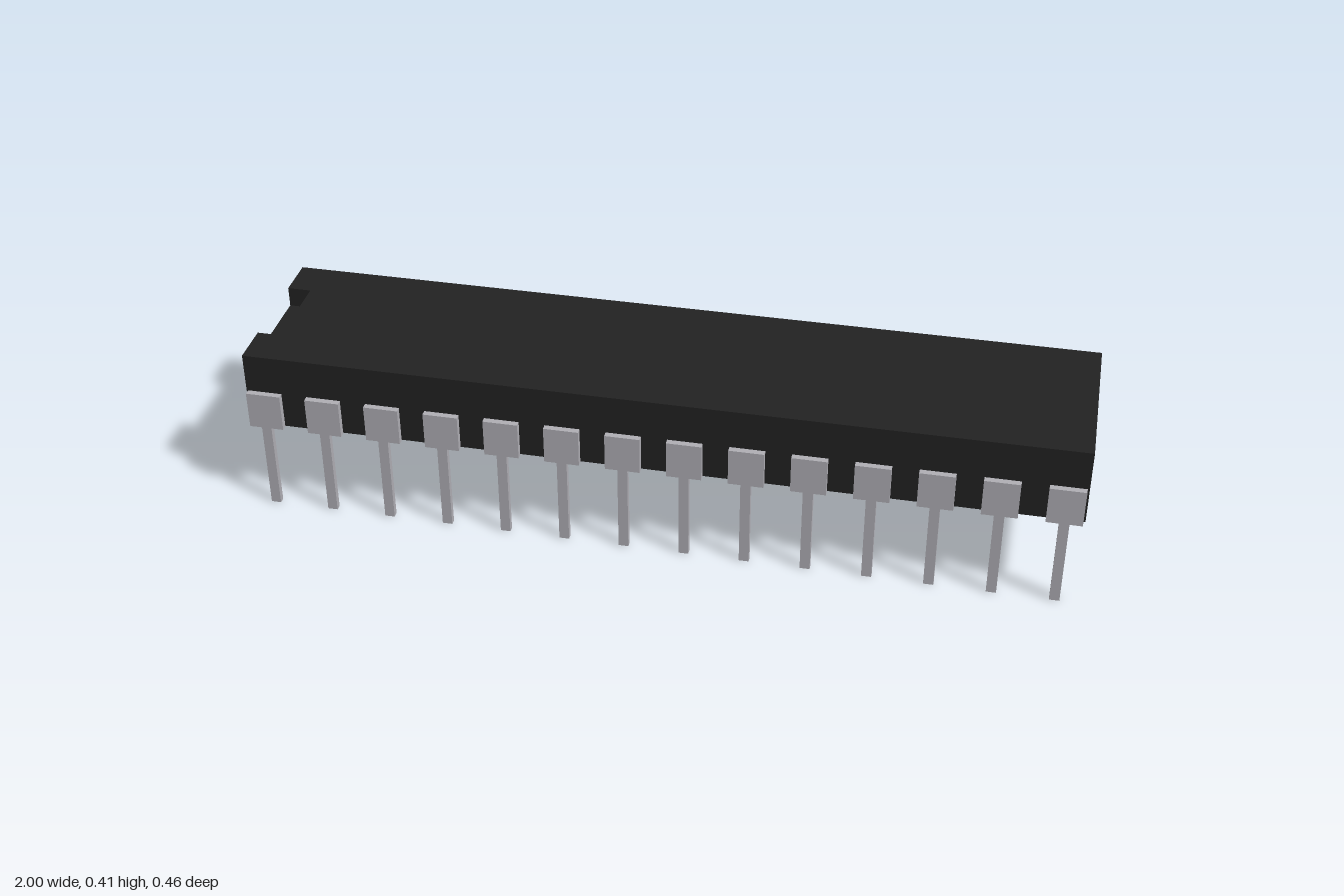
import * as THREE from 'three';

const BODY = { bottom: 0.222, top: 0.412, halfX: 1, halfZ: 0.211 };
const NOTCH = { halfZ: 0.106, depthX: 0.058, depthY: 0.05 };
const PINS = { perSide: 14, firstX: -0.953, z: 0.2215, thickness: 0.015 };

export function createModel() {
  const plastic = new THREE.MeshStandardMaterial({ color: 0x222222 });
  plastic.name = 'black plastic';
  const metal = new THREE.MeshStandardMaterial({ color: 0xb0afb5 });
  metal.name = 'pin metal';

  const model = new THREE.Group();
  model.name = 'integratedCircuit';

  function addBox(parent, name, material, size, position) {
    const mesh = new THREE.Mesh(new THREE.BoxGeometry(...size), material);
    mesh.name = name;
    mesh.position.set(...position);
    parent.add(mesh);
  }

  // Lower body, up to the floor of the notch
  const floor = BODY.top - NOTCH.depthY;
  addBox(model, 'lowerBody', plastic,
    [BODY.halfX * 2, floor - BODY.bottom, BODY.halfZ * 2],
    [0, (floor + BODY.bottom) / 2, 0]);

  // Upper body: plan outline with the orientation notch at the -x end
  const { halfX, halfZ } = BODY;
  const inner = -halfX + NOTCH.depthX;
  const outline = new THREE.Shape([
    [-halfX, -halfZ], [halfX, -halfZ], [halfX, halfZ], [-halfX, halfZ],
    [-halfX, NOTCH.halfZ], [inner, NOTCH.halfZ],
    [inner, -NOTCH.halfZ], [-halfX, -NOTCH.halfZ],
  ].map(([x, y]) => new THREE.Vector2(x, y)));
  const upper = new THREE.ExtrudeGeometry(outline, { depth: NOTCH.depthY, bevelEnabled: false });
  upper.rotateX(-Math.PI / 2);
  const upperBody = new THREE.Mesh(upper, plastic);
  upperBody.name = 'notchedUpperBody';
  upperBody.position.y = floor;
  model.add(upperBody);

  // Two rows of pins: a wide shoulder above a narrow leg
  const pitch = (-2 * PINS.firstX) / (PINS.perSide - 1);
  for (const side of [1, -1]) {
    const row = new THREE.Group();
    row.name = side > 0 ? 'frontPins' : 'backPins';
    for (let i = 0; i < PINS.perSide; i++) {
      const x = PINS.firstX + i * pitch;
      const z = side * PINS.z;
      addBox(row, 'pinShoulder', metal, [0.084, 0.094, PINS.thickness], [x, 0.269, z]);
      addBox(row, 'pinLeg', metal, [0.024, 0.222, PINS.thickness], [x, 0.111, z]);
    }
    model.add(row);
  }
  return model;
}
